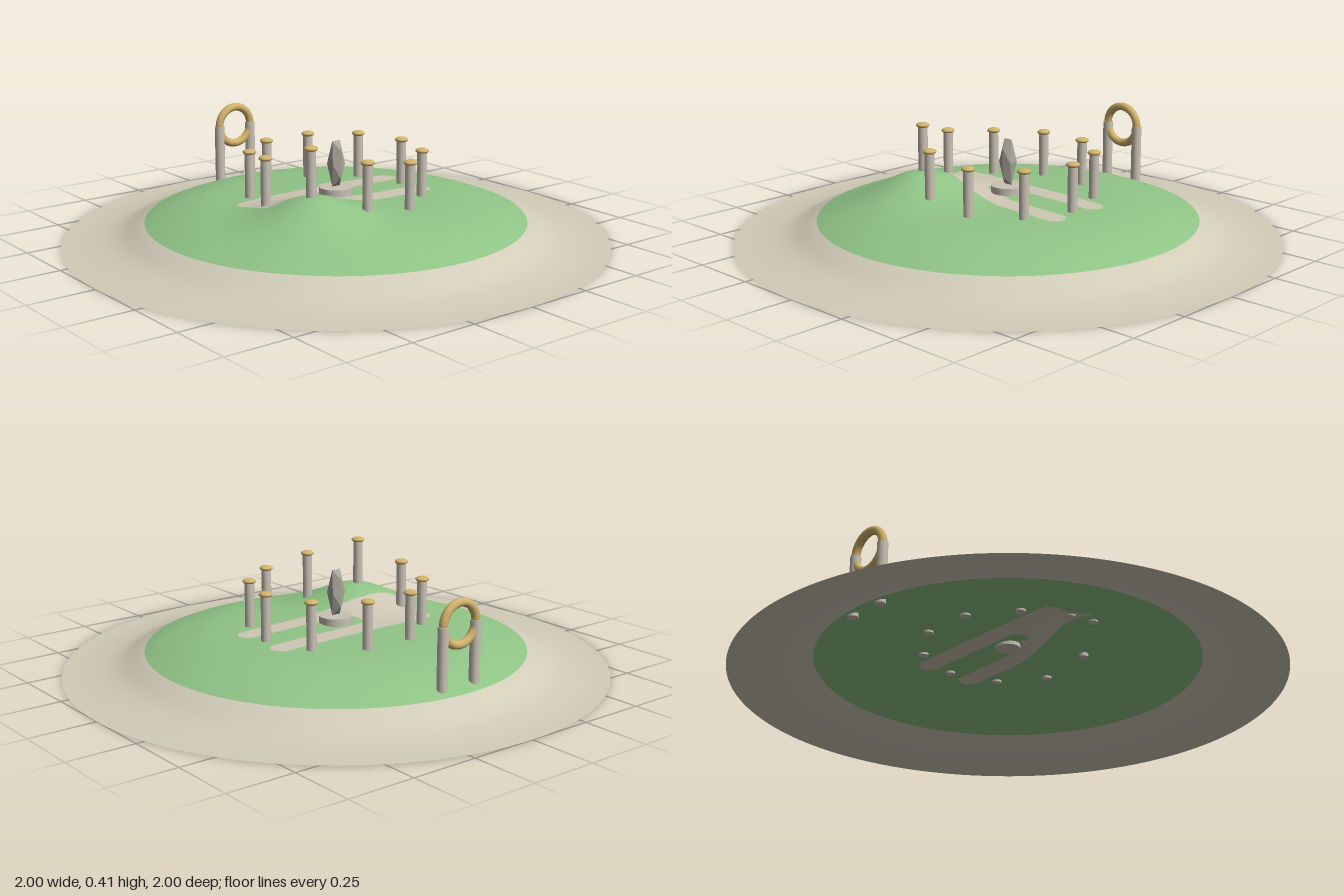
import * as THREE from 'three';

const mat = (name, color, extra = {}) => Object.assign(new THREE.MeshStandardMaterial({ color, ...extra }), { name });

// Radial island profile: heights at every tenth of the radius
const profile = new THREE.SplineCurve(
  [0.15, 0.15, 0.149, 0.147, 0.143, 0.132, 0.108, 0.072, 0.025, 0.006, 0].map((y, i) => new THREE.Vector2(i / 10, y)));

// Ground height: the profile plus one rounded hill
function ground(x, z) {
  const y = profile.getPoint(Math.min(1, Math.hypot(x, z))).y;
  return y + 0.083 * Math.exp(-((x + 0.25) ** 2 + (z - 0.2) ** 2) / 0.033);
}

// Footpath: two round-ended strips, joined at the left
const strips = [
  [[-0.32, -0.1], [0.32, -0.1]],
  [[-0.32, 0.047], [-0.2, 0.047], [0, 0.085], [0.08, 0.1], [0.32, 0.1]],
];
function onPath(x, z) {
  if (Math.abs(x) > 0.4 || Math.abs(z) > 0.2) return false;
  if (x > -0.35 && x < -0.095 + 8 * (z + 0.02) ** 2 && x < -0.04 && z > -0.1 && z < 0.05) return true;
  return strips.some(pts => pts.slice(1).some(([bx, bz], i) => {
    const [ax, az] = pts[i], dx = bx - ax, dz = bz - az;
    const t = THREE.MathUtils.clamp(((x - ax) * dx + (z - az) * dz) / (dx * dx + dz * dz), 0, 1);
    return Math.hypot(x - ax - t * dx, z - az - t * dz) < 0.041;
  }));
}

// Polar grid, with its faces sorted into sand, grass and path
function terrainGeometry() {
  const segs = 240, radii = [];
  for (let i = 1; i <= 100; i++) radii.push(i * 0.005);
  for (let i = 51; i <= 100; i++) radii.push(i * 0.01);
  const pos = [0, ground(0, 0), 0], faces = [[], [], []];
  for (const r of radii) {
    for (let j = 0; j < segs; j++) {
      const a = j / segs * Math.PI * 2, x = r * Math.cos(a), z = r * Math.sin(a);
      pos.push(x, ground(x, z), z);
    }
  }
  const add = (...tri) => {
    const x = tri.reduce((s, i) => s + pos[i * 3], 0) / 3;
    const z = tri.reduce((s, i) => s + pos[i * 3 + 2], 0) / 3;
    faces[Math.hypot(x, z) > 0.7 ? 0 : onPath(x, z) ? 2 : 1].push(...tri);
  };
  for (let j = 0; j < segs; j++) {
    const k = (j + 1) % segs;
    add(0, 1 + k, 1 + j);
    for (let i = 0; i < radii.length - 1; i++) {
      const a = 1 + i * segs, b = a + segs;
      add(a + j, a + k, b + j);
      add(a + k, b + k, b + j);
    }
  }
  const g = new THREE.BufferGeometry();
  g.setAttribute('position', new THREE.Float32BufferAttribute(pos, 3));
  g.setIndex(faces.flat());
  let start = 0;
  faces.forEach((f, i) => { g.addGroup(start, f.length, i); start += f.length; });
  g.computeVertexNormals();
  return g;
}

export function createModel() {
  const model = new THREE.Group();
  model.name = 'island';
  const both = { side: THREE.DoubleSide };
  const sand = mat('sand', 0xd2ccb9, both), grass = mat('grass', 0x90c486, both), path = mat('path', 0xcfc7b4, both);
  const stone = mat('stone', 0xc9c2b4), gold = mat('gold', 0xd0b26c);
  const crystalMat = mat('crystal', 0xaaa69c, { flatShading: true });

  const part = (name, geo, material, x, y, z, parent = model) => {
    const m = new THREE.Mesh(geo, material);
    m.name = name;
    m.position.set(x, y, z);
    parent.add(m);
    return m;
  };

  part('terrain', terrainGeometry(), [sand, grass, path], 0, 0, 0);

  // Ring of ten columns with flattened gold caps
  const shaft = new THREE.CylinderGeometry(0.018, 0.018, 0.175, 20);
  const cap = new THREE.SphereGeometry(0.025, 20, 12).scale(1, 0.42, 1);
  for (let i = 0; i < 10; i++) {
    const a = i * Math.PI / 5, x = 0.315 * Math.cos(a), z = 0.315 * Math.sin(a);
    const column = new THREE.Group();
    column.name = 'column';
    column.position.set(x, ground(x, z), z);
    part('columnShaft', shaft, stone, 0, 0.08, 0, column);
    part('columnCap', cap, gold, 0, 0.17, 0, column);
    model.add(column);
  }

  // Central pedestal and faceted crystal
  part('pedestal', new THREE.CylinderGeometry(0.063, 0.063, 0.026, 32), stone, 0, 0.172, 0);
  part('pedestalFoot', new THREE.CylinderGeometry(0.045, 0.045, 0.02, 32), stone, 0, 0.152, 0);
  part('crystal', new THREE.IcosahedronGeometry(1, 0).scale(0.033, 0.1, 0.033), crystalMat, 0, 0.272, 0);

  // Gateway at the back: two posts carrying a gold ring
  const post = new THREE.CylinderGeometry(0.019, 0.019, 0.23, 20);
  for (const s of [-1, 1]) part('gatePost', post, stone, s * 0.073, 0.19, -0.655);
  part('gateRing', new THREE.TorusGeometry(0.073, 0.0155, 14, 48), gold, 0, 0.303, -0.655);

  return model;
}
